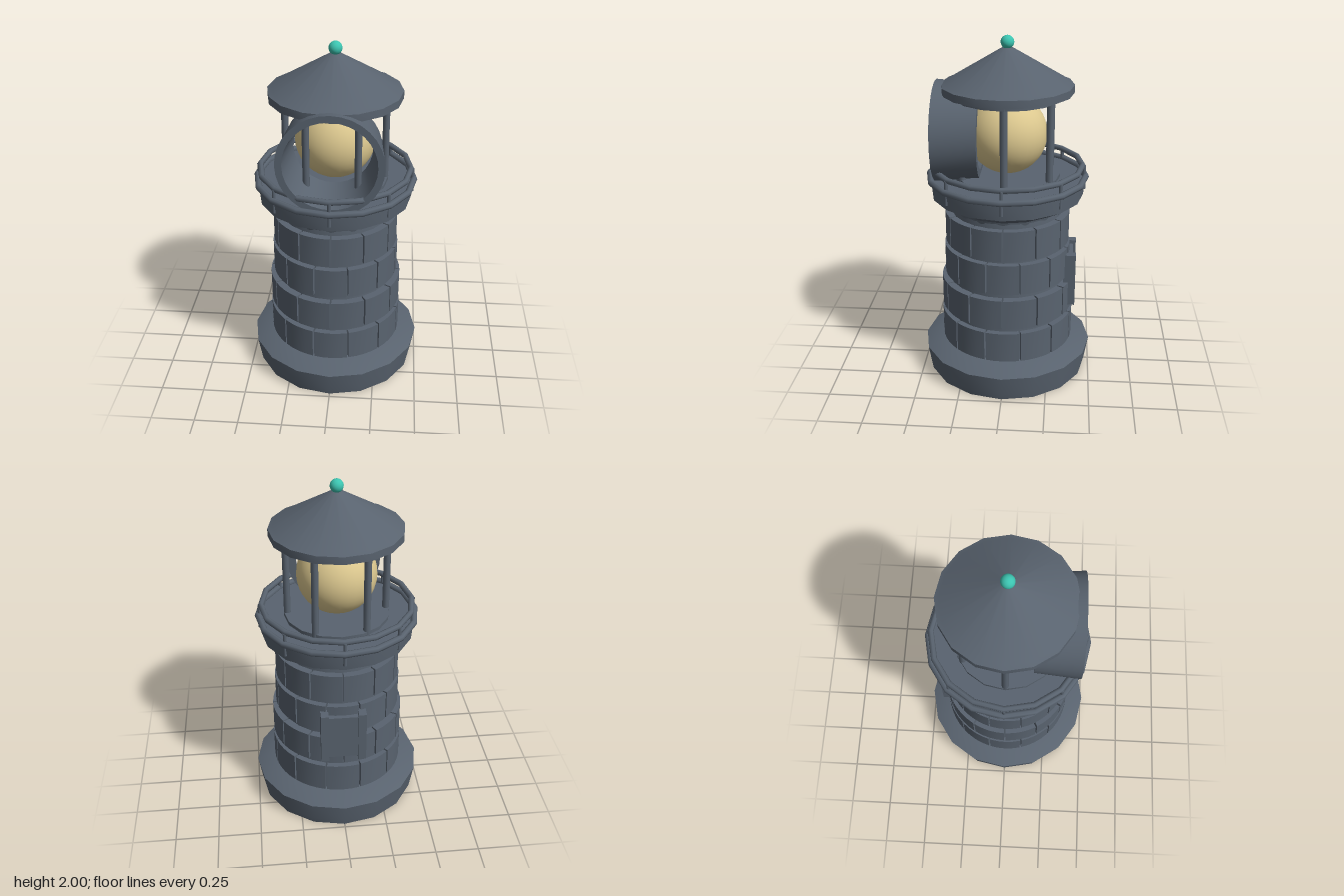
import * as THREE from 'three';
import { toCreasedNormals } from 'three/addons/utils/BufferGeometryUtils.js';

export function createModel() {
  const root = new THREE.Group();
  root.name = 'lighthouse';

  const material = (name, color) => {
    const m = new THREE.MeshStandardMaterial({ color });
    m.name = name;
    return m;
  };
  const slate = material('slate', 0x59636f);
  const glow = material('lampGlow', 0xdcc88f);
  const teal = material('tealFinial', 0x3cc4b0);

  const add = (name, geometry, mat, x = 0, y = 0, z = 0, parent = root) => {
    const mesh = new THREE.Mesh(geometry, mat);
    mesh.name = name;
    mesh.position.set(x, y, z);
    parent.add(mesh);
    return mesh;
  };
  const group = (name) => {
    const g = new THREE.Group();
    g.name = name;
    root.add(g);
    return g;
  };
  const lathe = (points, sides = 16) =>
    toCreasedNormals(new THREE.LatheGeometry(points.map(([r, y]) => new THREE.Vector2(r, y)), sides), 0.6);
  const ring = (radius, tube) => new THREE.TorusGeometry(radius, tube, 8, 16).rotateX(Math.PI / 2);

  // Foundation and tapering tower core
  add('base', lathe([[0, 0], [0.475, 0], [0.482, 0.04], [0.5, 0.15], [0.38, 0.2], [0, 0.2]]), slate);
  add('towerCore', lathe([[0.37, 0.19], [0.32, 1.03]], 24), slate);

  // Curved stone block: a box bent around the tower axis
  const stone = (inner, outer, height, arc) => {
    const g = new THREE.BoxGeometry(1, height, 1, 4, 1, 1);
    const p = g.attributes.position;
    for (let i = 0; i < p.count; i++) {
      const a = p.getX(i) * arc;
      const r = p.getZ(i) > 0 ? outer : inner;
      p.setXYZ(i, Math.sin(a) * r, p.getY(i), Math.cos(a) * r);
    }
    return toCreasedNormals(g, 0.6);
  };

  // Four courses of twelve stones, staggered row by row
  const masonry = group('masonry');
  [[0.29, 0.39], [0.5, 0.387], [0.71, 0.367], [0.912, 0.36]].forEach(([y, r], row) => {
    const geometry = stone(r - 0.06, r, 0.18, Math.PI / 6 - 0.025);
    for (let i = 0; i < 12; i++) {
      const block = add('stoneBlock', geometry, slate, 0, y, 0, masonry);
      block.rotation.y = (i + (row % 2) / 2) * Math.PI / 6;
    }
  });

  // Shuttered panel on the back wall
  const door = group('backDoor');
  add('doorPanel', new THREE.BoxGeometry(0.19, 0.28, 0.06), slate, 0, 0.6, -0.36, door);
  for (const side of [-1, 1]) {
    add('doorJamb', new THREE.BoxGeometry(0.045, 0.32, 0.07), slate, side * 0.107, 0.603, -0.37, door);
  }

  // Flared gallery with edge ring, lantern plinth and railing
  add('gallery', lathe([[0, 1.02], [0.32, 1.02], [0.325, 1.04], [0.435, 1.1], [0.445, 1.2], [0, 1.2]]), slate);
  add('galleryEdge', ring(0.446, 0.019), slate, 0, 1.205);
  add('lanternPlinth', new THREE.CylinderGeometry(0.3, 0.3, 0.025, 16), slate, 0, 1.208);
  const railing = group('railing');
  add('handrail', ring(0.427, 0.017), slate, 0, 1.27, 0, railing);
  const railPost = new THREE.CylinderGeometry(0.01, 0.01, 0.14, 8);
  for (let i = 0; i < 8; i++) {
    const a = i * Math.PI / 4;
    add('railPost', railPost, slate, Math.sin(a) * 0.437, 1.2, Math.cos(a) * 0.437, railing);
  }

  // Lantern room: lamp and six posts
  add('lamp', new THREE.SphereGeometry(0.225, 32, 20), glow, 0, 1.452);
  const lanternPost = new THREE.CylinderGeometry(0.02, 0.02, 0.48, 10);
  for (let i = 0; i < 6; i++) {
    const a = i * Math.PI / 3;
    add('lanternPost', lanternPost, slate, Math.cos(a) * 0.28, 1.44, Math.sin(a) * 0.28);
  }

  // Round beam hood, open at both ends
  const hood = lathe([[0.265, 0.15], [0.287, 0.4], [0.25, 0.4], [0.215, 0.15], [0.265, 0.15]], 32);
  add('beamHood', hood.rotateX(Math.PI / 2), slate, 0, 1.46);

  // Roof with ceiling plate, eave and finial
  add('roof', lathe([[0, 1.66], [0.3, 1.66], [0.3, 1.692], [0.37, 1.692], [0.37, 1.735],
    [0.345, 1.745], [0.035, 1.93], [0, 1.94]]), slate);
  add('finial', new THREE.SphereGeometry(0.037, 20, 14), teal, 0, 1.963);

  return root;
}
